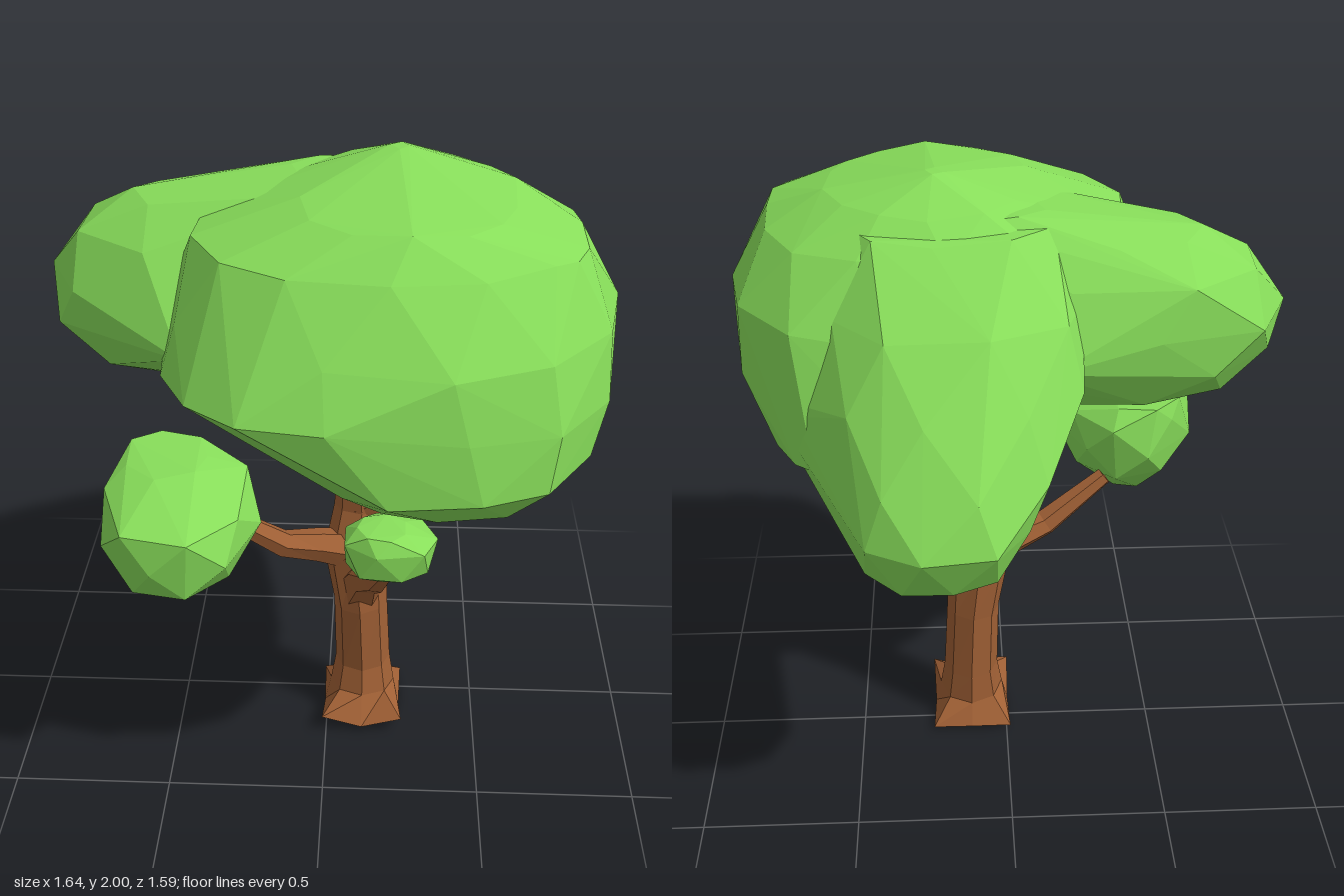
import * as THREE from 'three';
import { ConvexGeometry } from 'three/addons/geometries/ConvexGeometry.js';

const bark = new THREE.MeshStandardMaterial({ color: 0xa06035, flatShading: true });
const leaf = new THREE.MeshStandardMaterial({ color: 0x88de5a, flatShading: true });

// Small seeded noise source
function seeded(seed) {
  let s = seed;
  return () => (s = (s * 16807) % 2147483647) / 2147483647;
}

// Faceted foliage hull around rounded rings: [y, xMin, xMax, zMin, zMax]
function foliage(name, rings, sides, jitter, seed) {
  const rand = seeded(seed);
  const wobble = () => (rand() - 0.5) * jitter;
  const round = (v) => Math.sign(v) * Math.pow(Math.abs(v), 0.88);
  const points = [];
  rings.forEach(([y, x0, x1, z0, z1], r) => {
    for (let i = 0; i < sides; i++) {
      const a = ((i + (r % 2) * 0.5) / sides) * Math.PI * 2;
      points.push(new THREE.Vector3(
        (x0 + x1) / 2 + round(Math.cos(a)) * (x1 - x0) / 2 + wobble(),
        y + wobble() * 0.7,
        (z0 + z1) / 2 + round(Math.sin(a)) * (z1 - z0) / 2 + wobble()));
    }
  });
  const mesh = new THREE.Mesh(new ConvexGeometry(points), leaf);
  mesh.name = name;
  return mesh;
}

// Tapered limb through stations [x, y, z, radius, depthRadius]; adjust() may reshape ring vertices
function limb(name, stations, sides, adjust) {
  const centres = stations.map(([x, y, z]) => new THREE.Vector3(x, y, z));
  const last = centres.length - 1;
  const up = new THREE.Vector3(0, 1, 0);
  const pos = [], index = [];
  stations.forEach(([, , , r, d = r], k) => {
    const dir = centres[Math.min(k + 1, last)].clone().sub(centres[Math.max(k - 1, 0)]).normalize();
    const turn = new THREE.Quaternion().setFromUnitVectors(up, dir);
    for (let i = 0; i < sides; i++) {
      const a = (i / sides) * Math.PI * 2;
      const v = new THREE.Vector3(Math.cos(a) * r, 0, -Math.sin(a) * d);
      if (adjust) adjust(v, k, i);
      v.applyQuaternion(turn).add(centres[k]);
      pos.push(v.x, v.y, v.z);
    }
  });
  for (let k = 0; k < last; k++) {
    for (let i = 0; i < sides; i++) {
      const a = k * sides + i, b = k * sides + (i + 1) % sides;
      index.push(a, b, b + sides, a, b + sides, a + sides);
    }
  }
  // End caps
  const start = pos.length / 3;
  [centres[0], centres[last]].forEach((c) => pos.push(c.x, c.y, c.z));
  for (let i = 0; i < sides; i++) {
    const j = (i + 1) % sides, top = last * sides;
    index.push(start, j, i, start + 1, top + i, top + j);
  }
  const geometry = new THREE.BufferGeometry();
  geometry.setAttribute('position', new THREE.Float32BufferAttribute(pos, 3));
  geometry.setIndex(index);
  geometry.computeVertexNormals();
  const mesh = new THREE.Mesh(geometry, bark);
  mesh.name = name;
  return mesh;
}

export function createModel() {
  const tree = new THREE.Group();
  tree.name = 'tree';

  // Trunk with four roots spreading diagonally at the base
  const trunk = limb('trunk', [
    [0.12, 0.03, 0.08, 0.15, 0.18],
    [0.12, 0.1, 0.07, 0.108, 0.11],
    [0.12, 0.2, 0.06, 0.092, 0.097],
    [0.11, 0.45, 0.065, 0.088, 0.1],
    [0.09, 0.64, 0.06, 0.102, 0.09],
    [0.11, 0.8, 0.035, 0.09, 0.065],
    [0.1, 1.0, 0.04, 0.067, 0.057],
    [0.1, 1.25, 0.04, 0.052, 0.047],
  ], 8, (v, k, i) => {
    if (k === 0) {
      v.multiplyScalar(i % 2 ? 1.26 : 0.85);
      v.y = i % 2 ? 0.01 : [-0.03, 0.0, -0.02, -0.03][i / 2];
    }
  });

  // Branches
  tree.add(
    trunk,
    limb('leftBranch', [
      [0.1, 0.79, 0.05, 0.05], [0.2, 0.84, 0.06, 0.05], [0.34, 0.88, 0.07, 0.042],
      [0.49, 0.98, 0.08, 0.036], [0.54, 1.18, 0.08, 0.025],
    ], 6),
    limb('rightBranch', [
      [0.08, 0.65, 0.07, 0.07], [-0.03, 0.69, 0.11, 0.055],
      [-0.14, 0.72, 0.15, 0.045], [-0.34, 0.87, 0.2, 0.03],
    ], 6),
    limb('frontBranch', [
      [0.11, 0.5, 0.08, 0.08], [0.13, 0.61, 0.17, 0.06],
      [0.16, 0.68, 0.28, 0.042], [0.2, 0.85, 0.44, 0.026],
    ], 6),
    limb('backBranch', [
      [0.1, 0.98, 0.05, 0.055], [0.11, 1.1, 0.0, 0.05],
      [0.13, 1.18, -0.2, 0.036], [0.15, 1.26, -0.32, 0.028],
    ], 6),
  );

  // Main canopy, and two lobes that spread from its flanks
  tree.add(
    foliage('mainCanopy', [
      [1.12, 0.1, 0.56, -0.07, 0.46],
      [1.18, -0.02, 0.67, -0.16, 0.7],
      [1.29, -0.15, 0.76, -0.28, 0.79],
      [1.3, 0.2, 0.66, -0.45, 0.0],
      [1.46, -0.36, 0.82, -0.44, 0.79],
      [1.5, -0.44, 0.5, -0.1, 0.79],
      [1.64, -0.45, 0.82, -0.38, 0.74],
      [1.83, -0.36, 0.69, -0.26, 0.61],
      [1.84, 0.46, 0.7, 0.1, 0.45],
      [1.92, -0.08, 0.52, -0.14, 0.5],
      [1.99, 0.18, 0.22, 0.01, 0.05],
    ], 14, 0.03, 11),
    foliage('rightCanopyLobe', [
      [1.33, -0.42, 0.0, -0.12, 0.2],
      [1.38, -0.72, 0.1, -0.23, 0.26],
      [1.49, -0.8, 0.15, -0.28, 0.29],
      [1.61, -0.83, 0.2, -0.31, 0.28],
      [1.75, -0.73, 0.2, -0.28, 0.25],
      [1.84, -0.58, 0.1, -0.18, 0.16],
      [1.55, -0.52, 0.1, -0.1, 0.5],
      [1.55, -0.36, 0.25, -0.36, 0.1],
      [1.91, -0.12, 0.3, -0.15, 0.2],
    ], 9, 0.03, 23),
    foliage('backCanopyLobe', [
      [1.03, 0.1, 0.36, -0.63, -0.45],
      [1.09, 0.0, 0.42, -0.74, -0.36],
      [1.22, -0.06, 0.47, -0.81, -0.2],
      [1.36, -0.15, 0.5, -0.73, -0.1],
      [1.52, -0.21, 0.52, -0.6, 0.0],
      [1.7, -0.22, 0.5, -0.46, 0.1],
      [1.88, -0.16, 0.45, -0.24, 0.1],
      [1.42, 0.2, 0.74, -0.35, 0.2],
    ], 9, 0.03, 37),
  );

  // Small foliage clumps on the lower branches
  tree.add(
    foliage('rightClump', [
      [0.79, -0.5, -0.36, 0.26, 0.44],
      [0.88, -0.59, -0.24, 0.15, 0.67],
      [0.98, -0.65, -0.19, 0.13, 0.7],
      [1.08, -0.63, -0.21, 0.13, 0.7],
      [1.14, -0.58, -0.34, 0.15, 0.44],
    ], 7, 0.025, 51),
    foliage('frontClump', [
      [0.81, 0.12, 0.26, 0.34, 0.46],
      [0.85, 0.06, 0.33, 0.31, 0.52],
      [0.94, 0.06, 0.34, 0.3, 0.53],
      [0.985, 0.1, 0.25, 0.36, 0.5],
    ], 7, 0.015, 67),
  );

  return tree;
}
